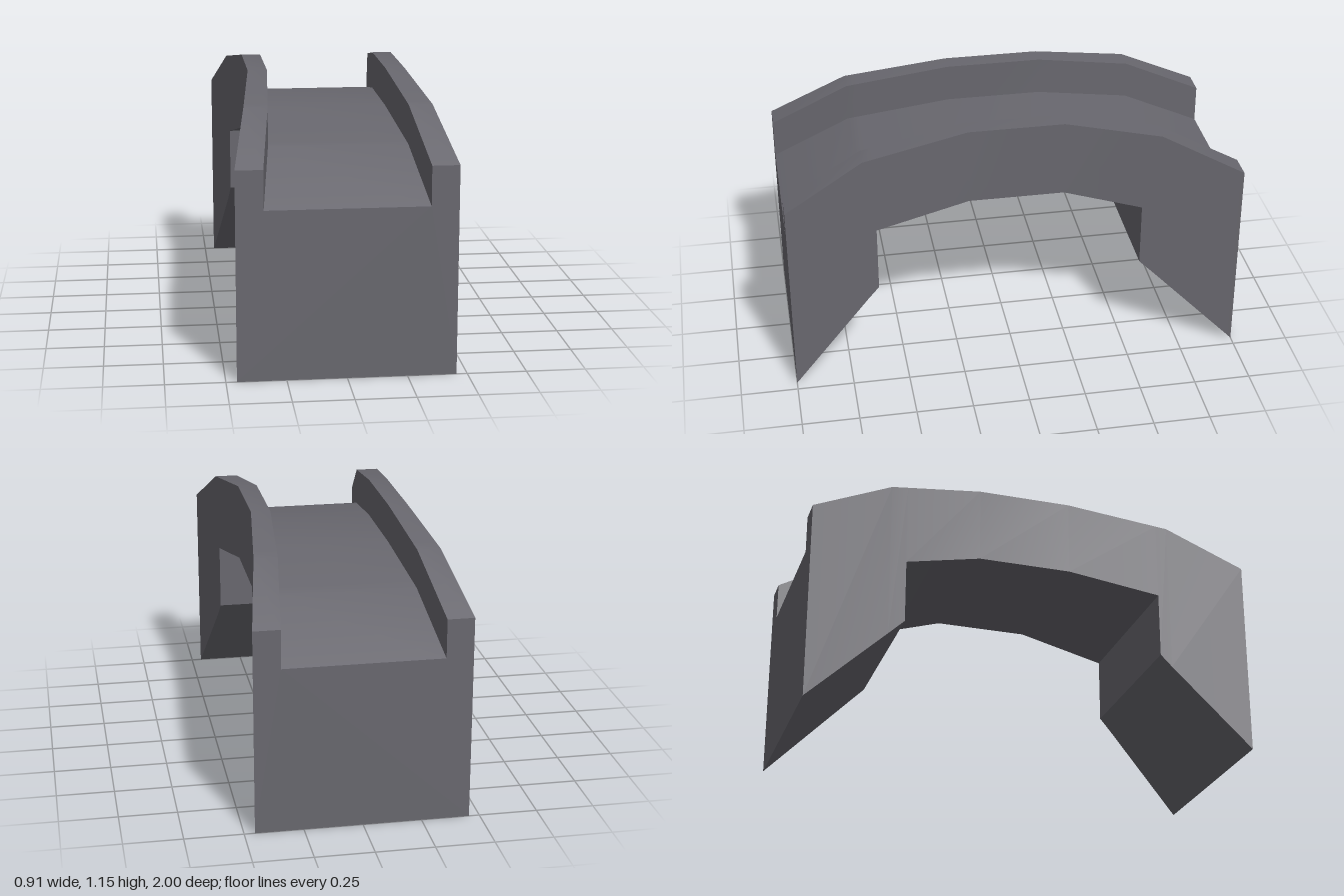
import * as THREE from 'three';
import { toCreasedNormals } from 'three/addons/utils/BufferGeometryUtils.js';

// Profiles along the bridge, as [z, value] pairs from front to back
const parapetTop = [[1, 0.888], [0.66, 1.072], [0.2, 1.147], [-0.22, 1.147], [-0.64, 1.072], [-1, 0.888]];
const deckTop = [[1, 0.72], [0.66, 0.905], [0.2, 0.98], [-0.22, 0.98], [-0.64, 0.905], [-1, 0.72]];
const outerHalf = [[1, 0.455], [0.66, 0.396], [0.2, 0.347], [-0.22, 0.347], [-0.64, 0.396], [-1, 0.455]];
const innerHalf = [[1, 0.34], [0.66, 0.295], [0.2, 0.262], [-0.22, 0.262], [-0.64, 0.295], [-1, 0.34]];

// Underside stations; the repeated z makes the upright pier faces
const stations = [
  [1, 0], [0.66, 0.375], [0.61, 0.43], [0.61, 0.725], [0.2, 0.805],
  [-0.22, 0.805], [-0.565, 0.715], [-0.565, 0.43], [-0.64, 0.356], [-1, 0],
];

function sample(profile, z) {
  for (let i = 0; i < profile.length - 1; i++) {
    const [z0, v0] = profile[i], [z1, v1] = profile[i + 1];
    if (z >= z1) return v0 + (v1 - v0) * (z0 - z) / (z0 - z1);
  }
  return profile[profile.length - 1][1];
}

// U-shaped cross-section, counter-clockwise seen from the front
function section([z, under]) {
  const o = sample(outerHalf, z), n = sample(innerHalf, z);
  const top = sample(parapetTop, z), deck = sample(deckTop, z);
  return [[-o, under], [o, under], [o, top], [n, top], [n, deck], [-n, deck], [-n, top], [-o, top]]
    .map(([x, y]) => new THREE.Vector3(x, y, z));
}

export function createModel() {
  const group = new THREE.Group();
  const stone = new THREE.MeshStandardMaterial({ color: 0x68676e });
  stone.name = 'dark grey stone';
  const sections = stations.map(section);

  function addPart(name, triangles) {
    const pos = [];
    for (const t of triangles) {
      if (new THREE.Triangle(...t).getArea() < 1e-7) continue;
      for (const p of t) pos.push(p.x, p.y, p.z);
    }
    const geo = new THREE.BufferGeometry();
    geo.setAttribute('position', new THREE.Float32BufferAttribute(pos, 3));
    const mesh = new THREE.Mesh(toCreasedNormals(geo, 0.45), stone);
    mesh.name = name;
    group.add(mesh);
  }

  // Skin the chosen edges of the section from front to back
  function strip(edges) {
    const tris = [];
    for (const e of edges) {
      const f = (e + 1) % 8;
      for (let i = 0; i < sections.length - 1; i++) {
        const a = sections[i], b = sections[i + 1];
        tris.push([a[e], b[e], b[f]], [a[e], b[f], a[f]]);
      }
    }
    return tris;
  }

  addPart('archUnderside', strip([0]));
  addPart('leftOuterWall', strip([1]));
  addPart('leftParapet', strip([2, 3]));
  addPart('deck', strip([4]));
  addPart('rightParapet', strip([5, 6]));
  addPart('rightOuterWall', strip([7]));

  // End faces close the U-shaped section
  const cap = [[0, 1, 4], [0, 4, 5], [1, 2, 3], [1, 3, 4], [0, 5, 6], [0, 6, 7]];
  const first = sections[0], last = sections[sections.length - 1];
  addPart('frontEnd', cap.map(([a, b, c]) => [first[a], first[b], first[c]]));
  addPart('backEnd', cap.map(([a, b, c]) => [last[a], last[c], last[b]]));
  return group;
}
